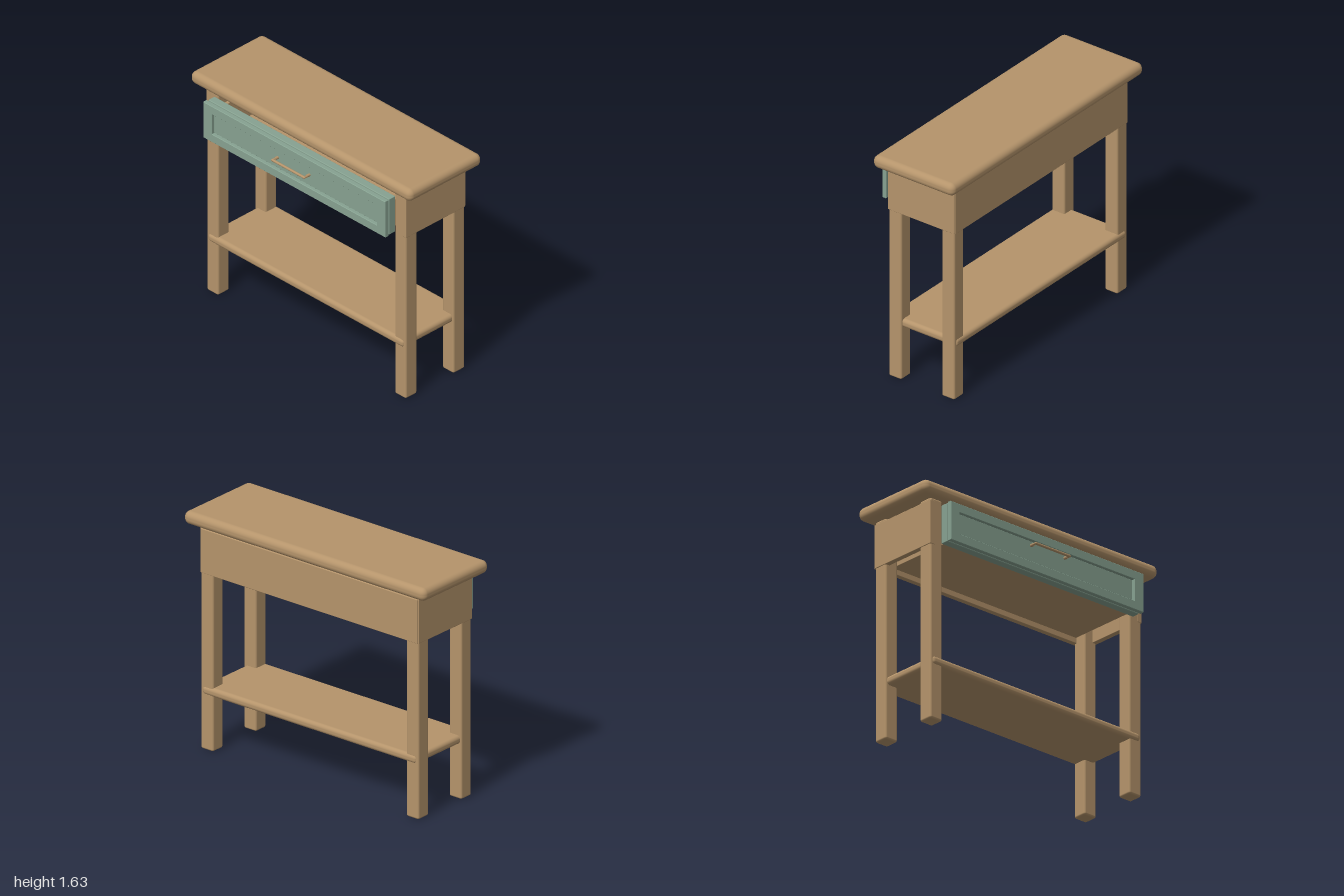
import * as THREE from 'three';
import { RoundedBoxGeometry } from 'three/addons/geometries/RoundedBoxGeometry.js';

export function createModel() {
  const table = new THREE.Group();
  table.name = 'consoleTable';

  const wood = new THREE.MeshStandardMaterial({ color: 0xb5946b });
  wood.name = 'warm wood';
  const green = new THREE.MeshStandardMaterial({ color: 0x87a291 });
  green.name = 'sage paint';

  // Softly rounded block given by its extents on each axis
  function block(name, [x0, x1], [y0, y1], [z0, z1], radius, material = wood, parent = table) {
    const geometry = new RoundedBoxGeometry(x1 - x0, y1 - y0, z1 - z0, 4, radius);
    const mesh = new THREE.Mesh(geometry, material);
    mesh.name = name;
    mesh.position.set((x0 + x1) / 2, (y0 + y1) / 2, (z0 + z1) / 2);
    parent.add(mesh);
    return mesh;
  }

  // Table top and lower shelf
  block('tableTop', [-1, 1], [1.545, 1.635], [-0.38, 0.27], 0.04);
  block('lowerShelf', [-0.89, 0.89], [0.38, 0.44], [-0.325, 0.22], 0.025);

  // Legs and side panels, mirrored left and right
  for (const side of [1, -1]) {
    const label = side > 0 ? 'left' : 'right';
    const span = (a, b) => (side > 0 ? [a, b] : [-b, -a]);
    block(label + 'FrontLeg', span(0.8, 0.902), [0, 1.545], [0.108, 0.21], 0.014);
    block(label + 'BackLeg', span(0.8, 0.902), [0, 1.545], [-0.317, -0.215], 0.014);
    block(label + 'SidePanel', span(0.868, 0.906), [1.22, 1.525], [-0.318, 0.212], 0.004);
  }
  block('backPanel', [-0.9, 0.9], [1.22, 1.525], [-0.325, -0.29], 0.004);

  // Drawer box, open at the top
  const drawer = new THREE.Group();
  drawer.name = 'drawer';
  table.add(drawer);
  const boxY = [1.25, 1.45];
  block('drawerBottom', [-0.77, 0.77], [1.25, 1.27], [-0.26, 0.22], 0.003, wood, drawer);
  block('drawerBack', [-0.78, 0.78], boxY, [-0.28, -0.255], 0.003, wood, drawer);
  block('drawerInnerFront', [-0.78, 0.78], boxY, [0.2, 0.226], 0.003, wood, drawer);
  block('drawerLeftSide', [0.76, 0.785], boxY, [-0.28, 0.226], 0.003, wood, drawer);
  block('drawerRightSide', [-0.785, -0.76], boxY, [-0.28, 0.226], 0.003, wood, drawer);

  // Painted drawer front: backing board, recessed panel and raised frame
  block('drawerFrontBoard', [-0.82, 0.82], [1.235, 1.505], [0.222, 0.278], 0.005, green, drawer);
  block('drawerPanel', [-0.742, 0.742], [1.302, 1.442], [0.27, 0.302], 0.002, green, drawer);

  const bevel = 0.003;
  const rectangle = (target, w, h) => {
    target.moveTo(-w, -h);
    target.lineTo(w, -h);
    target.lineTo(w, h);
    target.lineTo(-w, h);
    target.closePath();
    return target;
  };
  const outline = rectangle(new THREE.Shape(), 0.825 - bevel, 0.135 - bevel);
  outline.holes.push(rectangle(new THREE.Path(), 0.747 + bevel, 0.075 + bevel));
  const frame = new THREE.Mesh(
    new THREE.ExtrudeGeometry(outline, {
      depth: 0.026, bevelEnabled: true, bevelThickness: bevel, bevelSize: bevel, bevelSegments: 1,
    }),
    green,
  );
  frame.name = 'drawerFrame';
  frame.position.set(0, 1.37, 0.289);
  drawer.add(frame);

  // Bar handle with two short posts and collars
  const handle = new THREE.Group();
  handle.name = 'drawerHandle';
  handle.position.set(0, 1.4, 0);
  drawer.add(handle);
  const bar = new THREE.Mesh(new THREE.CapsuleGeometry(0.009, 0.29, 4, 12), wood);
  bar.name = 'handleBar';
  bar.rotation.z = Math.PI / 2;
  bar.position.z = 0.369;
  handle.add(bar);
  for (const side of [1, -1]) {
    const post = new THREE.Mesh(new THREE.CylinderGeometry(0.007, 0.007, 0.05, 12), wood);
    post.name = 'handlePost';
    post.rotation.x = Math.PI / 2;
    post.position.set(side * 0.145, 0, 0.345);
    const collar = new THREE.Mesh(new THREE.CylinderGeometry(0.01, 0.01, 0.028, 12), wood);
    collar.name = 'handleCollar';
    collar.rotation.x = Math.PI / 2;
    collar.position.set(side * 0.143, 0, 0.336);
    handle.add(post, collar);
  }

  return table;
}
